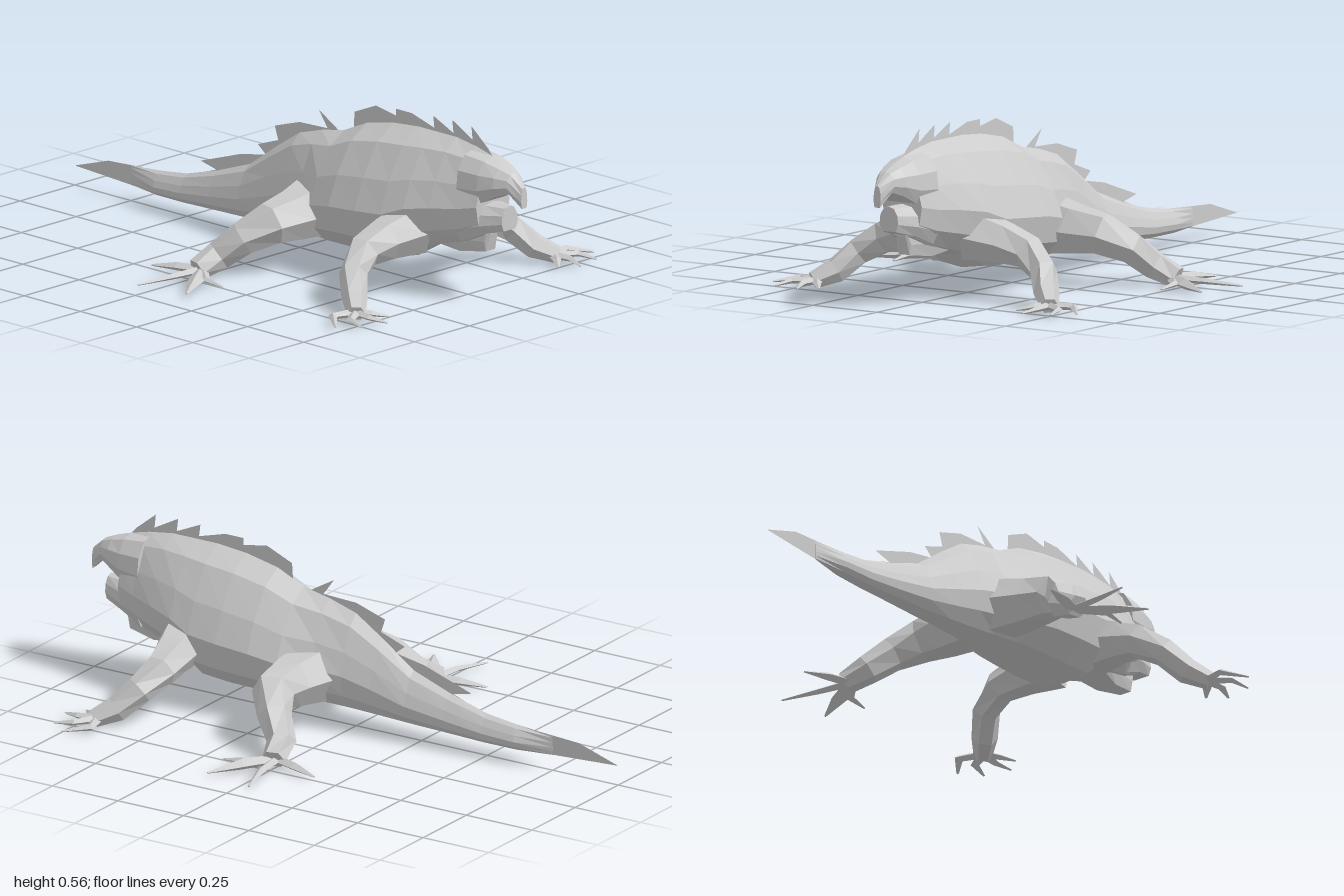
import * as THREE from 'three';

const mat = new THREE.MeshStandardMaterial({ color: 0xcccccc, flatShading: true, side: THREE.DoubleSide });

// Skin a list of equal-sized point rings and close both ends with fans.
function skin(rings) {
  const pos = [];
  const tri = (...pts) => pts.forEach(p => pos.push(p.x, p.y, p.z));
  const centre = r => r.reduce((s, p) => s.add(p), new THREE.Vector3()).divideScalar(r.length);
  const n = rings[0].length, first = rings[0], last = rings[rings.length - 1];
  const c0 = centre(first), c1 = centre(last);
  for (let j = 0; j < n; j++) {
    const k = (j + 1) % n;
    for (let i = 0; i < rings.length - 1; i++) {
      const a = rings[i], b = rings[i + 1];
      tri(a[j], a[k], b[k]);
      tri(a[j], b[k], b[j]);
    }
    tri(c0, first[k], first[j]);
    tri(c1, last[j], last[k]);
  }
  const g = new THREE.BufferGeometry();
  g.setAttribute('position', new THREE.Float32BufferAttribute(pos, 3));
  g.computeVertexNormals();
  return g;
}

// Half cross-sections, [share of half width, share of height], bottom to top.
const BODY = [[0, 0], [0.5, 0.03], [0.88, 0.18], [1, 0.4], [0.78, 0.64], [0.42, 0.89], [0, 1]];
const JAW = [[0, 0], [0.75, 0], [1, 0.3], [0.92, 0.65], [0.55, 0.93], [0, 1]];

// Sections run from back to front: [z, top, bottom, half width].
function trunk(half, sections) {
  const outline = [...half, ...half.slice(1, -1).reverse().map(([x, y]) => [-x, y])];
  return skin(sections.map(([z, top, bottom, w]) =>
    outline.map(([x, y]) => new THREE.Vector3(x * w, bottom + y * (top - bottom), z))));
}

// Tapering limb along points [x, y, z, radius]; flat squashes it vertically.
function limb(points, sides = 6, flat = 1) {
  const p = points.map(([x, y, z]) => new THREE.Vector3(x, y, z));
  return skin(p.map((c, i) => {
    const t = p[Math.min(i + 1, p.length - 1)].clone().sub(p[Math.max(i - 1, 0)]).normalize();
    const u = new THREE.Vector3(0, 1, 0).cross(t).normalize();
    const v = t.clone().cross(u);
    return Array.from({ length: sides }, (_, j) => {
      const a = (j / sides) * Math.PI * 2, r = points[i][3];
      const q = c.clone().addScaledVector(u, Math.cos(a) * r).addScaledVector(v, Math.sin(a) * r * flat);
      q.y = Math.max(q.y, 0.003);
      return q;
    });
  }));
}

// Paper-thin plate on the centre plane from [z, y] points.
function plate(points) {
  const shape = new THREE.Shape(points.map(([z, y]) => new THREE.Vector2(z, y)));
  return new THREE.ShapeGeometry(shape).rotateY(-Math.PI / 2);
}

function part(parent, name, geometry) {
  const mesh = new THREE.Mesh(geometry, mat);
  mesh.name = name;
  parent.add(mesh);
}

// Limb points for one side of the body (s = 1 left, -1 right).
const mirror = (pts, s) => pts.map(([x, y, z, r]) => [x * s, y, z, r]);

// Digits: [middle x, middle z, tip x, tip z, middle radius]
function addLeg(parent, name, s, leg, wrist, digits) {
  const g = new THREE.Group();
  g.name = name;
  parent.add(g);
  part(g, 'leg', limb(mirror(leg, s)));
  digits.forEach(([mx, mz, tx, tz, r]) => part(g, 'digit', limb(mirror([
    [wrist[0], 0.026, wrist[1], 0.02],
    [mx, 0.025, mz, r],
    [tx, 0.016, tz, 0.004],
  ], s), 4, 0.7)));
}

export function createModel() {
  const model = new THREE.Group();
  model.name = 'lizard';

  // Tail, trunk and back of the head
  part(model, 'body', trunk(BODY, [
    [-0.75, 0.12, 0.055, 0.003],
    [-0.62, 0.13, 0.05, 0.034],
    [-0.5, 0.145, 0.05, 0.038],
    [-0.36, 0.185, 0.055, 0.047],
    [-0.22, 0.235, 0.06, 0.06],
    [-0.1, 0.32, 0.065, 0.073],
    [0, 0.385, 0.07, 0.09],
    [0.1, 0.415, 0.075, 0.115],
    [0.2, 0.435, 0.075, 0.16],
    [0.3, 0.48, 0.078, 0.177],
    [0.42, 0.505, 0.08, 0.182],
    [0.53, 0.515, 0.088, 0.175],
    [0.61, 0.515, 0.14, 0.155],
    [0.7, 0.515, 0.165, 0.128],
    [0.79, 0.502, 0.19, 0.098],
    [0.86, 0.485, 0.225, 0.076],
  ]));

  // Open mouth with a hooked snout
  part(model, 'upperJaw', trunk(JAW, [
    [0.78, 0.495, 0.33, 0.085],
    [0.86, 0.485, 0.34, 0.075],
    [0.915, 0.467, 0.37, 0.058],
    [0.955, 0.45, 0.385, 0.036],
    [1, 0.41, 0.34, 0.014],
  ]));
  part(model, 'lowerJaw', trunk(JAW, [
    [0.78, 0.34, 0.2, 0.085],
    [0.86, 0.335, 0.235, 0.066],
    [0.935, 0.335, 0.255, 0.036],
  ]));
  part(model, 'dewlap', trunk(JAW, [
    [0.66, 0.3, 0.17, 0.075],
    [0.75, 0.3, 0.155, 0.05],
    [0.85, 0.28, 0.17, 0.028],
    [0.865, 0.28, 0.23, 0.02],
  ]));

  // Jagged crest along the spine: the tips lean backwards
  part(model, 'crest', plate([
    [0.88, 0.46], [0.84, 0.505], [0.765, 0.565], [0.77, 0.52], [0.68, 0.568], [0.685, 0.525],
    [0.595, 0.565], [0.6, 0.525], [0.5, 0.553], [0.43, 0.553], [0.43, 0.53], [0.34, 0.545],
    [0.245, 0.505], [0.24, 0.43], [0.18, 0.425], [0.085, 0.48], [0.125, 0.425], [0, 0.42],
    [-0.11, 0.385], [-0.095, 0.34], [-0.185, 0.308], [-0.15, 0.28], [-0.26, 0.26],
    [-0.44, 0.2], [-0.37, 0.185], [-0.5, 0.14], [-0.4, 0.12], [0, 0.25], [0.5, 0.4],
  ]));
  part(model, 'tailFin', plate([
    [-0.55, 0.12], [-0.6, 0.13], [-0.85, 0.115], [-1, 0.068], [-0.74, 0.055], [-0.55, 0.06],
  ]));

  // Sprawling legs, mirrored
  for (const s of [1, -1]) {
    const side = s > 0 ? 'left' : 'right';
    addLeg(model, side + 'FrontLeg', s, [
      [0.08, 0.21, 0.59, 0.09], [0.19, 0.19, 0.57, 0.07], [0.28, 0.165, 0.56, 0.056],
      [0.36, 0.115, 0.59, 0.046], [0.41, 0.055, 0.645, 0.042], [0.46, 0.025, 0.7, 0.03],
    ], [0.45, 0.69], [
      [0.53, 0.665, 0.59, 0.735, 0.016], [0.52, 0.735, 0.535, 0.8, 0.014],
      [0.46, 0.76, 0.44, 0.82, 0.014], [0.42, 0.735, 0.385, 0.775, 0.014],
    ]);
    addLeg(model, side + 'HindLeg', s, [
      [0.04, 0.18, 0.12, 0.105], [0.17, 0.175, 0.14, 0.084], [0.27, 0.17, 0.14, 0.07],
      [0.345, 0.125, 0.085, 0.056], [0.395, 0.065, 0.025, 0.048], [0.47, 0.028, 0.005, 0.04],
    ], [0.45, 0.005], [
      [0.475, -0.08, 0.5, -0.17, 0.02], [0.57, -0.01, 0.69, -0.045, 0.014],
      [0.55, 0.075, 0.655, 0.135, 0.026], [0.52, 0.09, 0.52, 0.165, 0.015],
    ]);
  }
  return model;
}
